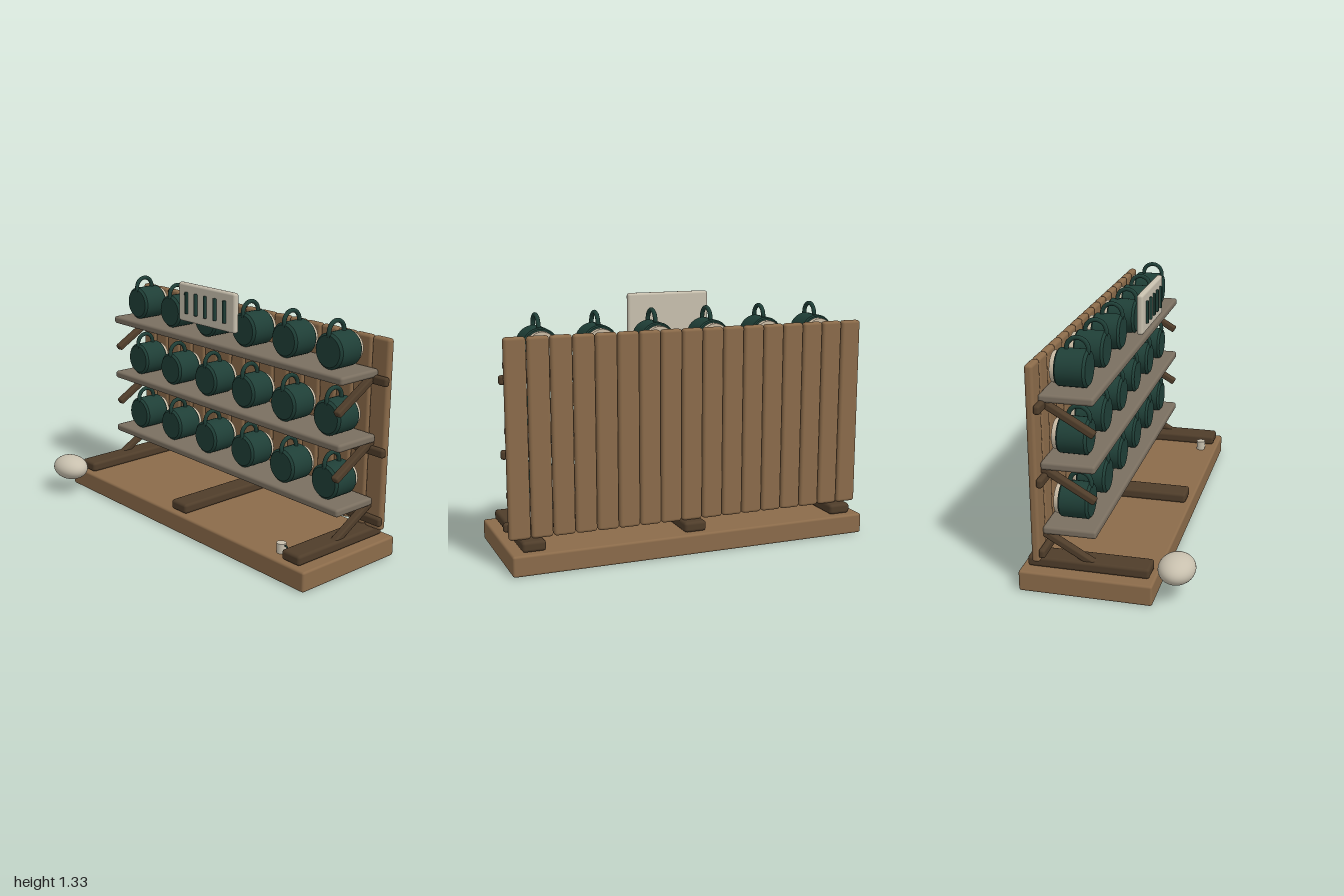
import * as THREE from 'three';
import { toCreasedNormals } from 'three/addons/utils/BufferGeometryUtils.js';
import { RoundedBoxGeometry } from 'three/addons/geometries/RoundedBoxGeometry.js';

const material = (name, color) => {
  const m = new THREE.MeshStandardMaterial({ color });
  m.name = name;
  return m;
};

export function createModel() {
  const wood = material('oak wood', 0x8b6b4a);
  const darkWood = material('dark wood', 0x4f3d2a);
  const shelfWood = material('weathered shelf', 0x7a6f60);
  const green = material('green enamel', 0x1f3f37);
  const cream = material('cream', 0xc8c0ae);
  const liner = material('warm cream liner', 0xcbbca5);

  const model = new THREE.Group();
  model.name = 'mugShelf';

  const add = (parent, name, geometry, mat, x = 0, y = 0, z = 0) => {
    const mesh = new THREE.Mesh(geometry, mat);
    mesh.name = name;
    mesh.position.set(x, y, z);
    parent.add(mesh);
    return mesh;
  };
  const box = (w, h, d, r) => new RoundedBoxGeometry(w, h, d, 2, r);
  // Turned profile with crisp edges
  const turned = (points) => toCreasedNormals(
    new THREE.LatheGeometry(points.map(([r, y]) => new THREE.Vector2(r, y)), 32), 0.6);

  // Base slab and the three skids lying on it
  add(model, 'base', box(1.96, 0.108, 0.672, 0.012), wood, 0, 0.054, -0.095);
  const skid = box(0.122, 0.055, 0.615, 0.016);
  for (const x of [-0.862, 0, 0.862]) add(model, 'skid', skid, darkWood, x, 0.1375, -0.093);

  // Back wall of vertical planks
  const planks = 17, pitch = 0.1152;
  const plank = box(0.111, 1.008, 0.042, 0.016);
  for (let i = 0; i < planks; i++) {
    add(model, 'backPlank', plank, wood, (i - (planks - 1) / 2) * pitch, 0.668, -0.338);
  }

  // Mug parts: the mug lies on its side, base forward
  const mugBody = turned([[0, -0.076], [0.086, -0.076], [0.092, -0.068], [0.092, 0.064], [0.08, 0.076], [0, 0.076]]);
  const mugLiner = turned([[0, -0.016], [0.075, -0.016], [0.077, -0.013], [0.077, 0.012], [0, 0.012]]);
  const mugHandle = new THREE.TorusGeometry(0.054, 0.0115, 10, 28);

  const shelf = box(1.84, 0.042, 0.27, 0.014);
  const rail = box(1.99, 0.048, 0.033, 0.014);
  const brace = box(0.042, 0.036, 0.31, 0.01);

  // Three tiers of shelf, rail, braces and mugs
  for (let tier = 0; tier < 3; tier++) {
    const top = 0.334 + tier * 0.34;
    add(model, 'shelf', shelf, shelfWood, 0, top - 0.021, -0.183);
    add(model, 'rail', rail, darkWood, 0, 0.222 + tier * 0.3695, -0.301);
    for (const side of [-1, 1]) {
      const b = add(model, 'brace', brace, darkWood, side * 0.89, top - 0.115, -0.188);
      b.rotation.x = 0.527;
    }
    for (let i = 0; i < 6; i++) {
      const mug = new THREE.Group();
      mug.name = 'mug';
      mug.position.set((i - 2.5) * 0.3075, top + 0.092, -0.183);
      add(mug, 'mugBody', mugBody, green).rotation.x = Math.PI / 2;
      add(mug, 'mugLiner', mugLiner, liner, 0, 0, -0.084).rotation.x = Math.PI / 2;
      add(mug, 'mugHandle', mugHandle, green, 0, 0.094, 0.018).rotation.y = Math.PI / 2;
      model.add(mug);
    }
  }

  // Floating sign board with five raised bars
  add(model, 'signBoard', box(0.456, 0.212, 0.034, 0.014), cream, 0, 1.221, 0);
  const bar = box(0.02, 0.12, 0.016, 0.005);
  for (let i = -2; i <= 2; i++) add(model, 'signBar', bar, green, i * 0.077, 1.221, 0.022);

  // Smooth pebble in front of the base
  add(model, 'pebble', new THREE.SphereGeometry(1, 40, 24), cream, -0.863, 0.16, 0.338)
    .scale.set(0.116, 0.069, 0.092);

  // Tiny cup standing on the base
  add(model, 'tinyCup', new THREE.CylinderGeometry(0.025, 0.025, 0.052, 24), cream, 0.737, 0.134, 0.15);
  add(model, 'tinyCupHandle', new THREE.TorusGeometry(0.016, 0.004, 8, 20), green, 0.765, 0.136, 0.15);

  return model;
}
